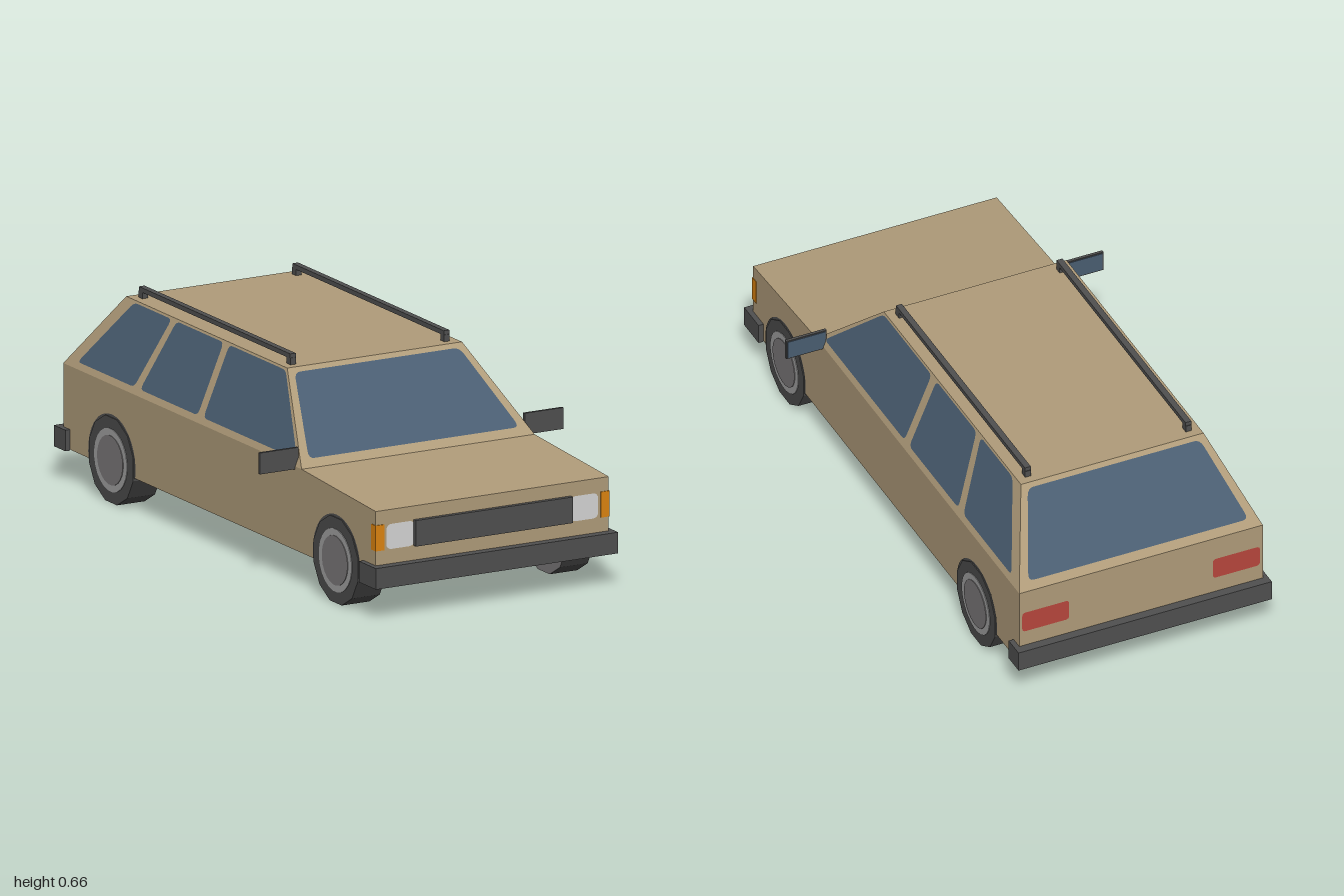
import * as THREE from 'three';

const mat = (name, color, side = THREE.DoubleSide) =>
  Object.assign(new THREE.MeshStandardMaterial({ color, side }), { name });

export function createModel() {
  const car = new THREE.Group();
  car.name = 'stationWagon';
  const paint = mat('tanPaint', 0xb09c7a);
  const glass = mat('blueGlass', 0x4a5e72);
  const trim = mat('darkTrim', 0x505050, THREE.FrontSide);
  const tyreMat = mat('tyreRubber', 0x4c4c4c, THREE.FrontSide);
  const rimMat = mat('rimGrey', 0xa2a2a2, THREE.FrontSide);
  const hubMat = mat('hubGrey', 0x7c797a, THREE.FrontSide);
  const lampMat = mat('lampWhite', 0xd6d6d6);
  const amber = mat('amberLamp', 0xdd8410, THREE.FrontSide);
  const red = mat('redLamp', 0xb8463c);

  const add = (name, geometry, material, x = 0, y = 0, z = 0) => {
    const m = new THREE.Mesh(geometry, material);
    m.name = name;
    m.position.set(x, y, z);
    car.add(m);
    return m;
  };
  const box = (name, material, x0, x1, y0, y1, z0, z1) =>
    add(name, new THREE.BoxGeometry(Math.abs(x1 - x0), y1 - y0, Math.abs(z1 - z0)), material,
      (x0 + x1) / 2, (y0 + y1) / 2, (z0 + z1) / 2);

  // polygon with softened corners, as a list of points
  const soften = (pts, r) => pts.flatMap(([x, y], i) => {
    const n = pts.length;
    const p = new THREE.Vector2(x, y);
    const toward = (q) => new THREE.Vector2(...q).sub(p).setLength(r).add(p);
    const a = toward(pts[(i + n - 1) % n]);
    const b = toward(pts[(i + 1) % n]);
    return new THREE.QuadraticBezierCurve(a, p, b).getPoints(4);
  });

  // flat shape placed in space by a linear rule, turned to face outward
  const sheet = (name, shape, material, place) => {
    const g = new THREE.ShapeGeometry(shape);
    const p = g.attributes.position;
    for (let i = 0; i < p.count; i++) p.setXYZ(i, ...place(p.getX(i), p.getY(i)));
    g.computeVertexNormals();
    const n = new THREE.Vector3().fromBufferAttribute(g.attributes.normal, 0);
    const c = new THREE.Vector3().fromBufferAttribute(p, 0).sub(new THREE.Vector3(0, 0.25, 0));
    if (n.dot(c) < 0) {
      g.index.array.reverse();
      g.computeVertexNormals();
    }
    return add(name, g, material);
  };

  // painted panel with inset panes filling its openings
  const panel = (name, outline, place, panes = [], paneName = '', paneMat = glass, r = 0.02) => {
    const shape = new THREE.Shape(outline.map((q) => new THREE.Vector2(...q)));
    for (const pane of panes) {
      const pts = soften(pane, r);
      shape.holes.push(new THREE.Path(pts));
      sheet(paneName, new THREE.Shape(pts), paneMat, place);
    }
    sheet(name, shape, paint, place);
  };
  const rect = (x0, x1, y0, y1) => [[x0, y0], [x1, y0], [x1, y1], [x0, y1]];

  // main body lines
  const W = 0.42, roofW = 0.315, sill = 0.11, belt = 0.38, roofY = 0.63, end = 0.97;
  const rise = (y) => (y - belt) / (roofY - belt);
  const cabin = [[-W, belt], [W, belt], [roofW, roofY], [-roofW, roofY]];
  const screen = [[-0.38, 0.403], [0.38, 0.403], [0.297, 0.617], [-0.297, 0.617]];

  panel('roof', rect(-roofW, roofW, -0.76, 0.24), (x, z) => [x, roofY, z]);
  panel('hood', rect(-W, W, 0.51, end), (x, z) => [x, belt - 0.03 * (z - 0.51) / 0.46, z]);
  panel('windshieldFrame', cabin, (x, y) => [x, y, 0.51 - 0.27 * rise(y)], [screen], 'windshield');
  panel('tailgateFrame', cabin, (x, y) => [x, y, -end + 0.21 * rise(y)], [screen], 'rearWindow');
  panel('nosepanel', rect(-W, W, sill, 0.35), (x, y) => [x, y, end],
    [rect(-0.382, -0.28, 0.222, 0.303), rect(0.28, 0.382, 0.222, 0.303)], 'headlight', lampMat);
  panel('tailPanel', rect(-W, W, sill, belt), (x, y) => [x, y, -end],
    [rect(-0.41, -0.248, 0.228, 0.3), rect(0.248, 0.41, 0.228, 0.3)], 'tailLight', red, 0.012);

  const sideWindows = [
    [[0.467, 0.4], [0.235, 0.623], [-0.115, 0.623], [-0.115, 0.4]],
    [[-0.15, 0.4], [-0.15, 0.623], [-0.442, 0.623], [-0.508, 0.4]],
    [[-0.545, 0.4], [-0.473, 0.623], [-0.705, 0.623], [-0.895, 0.4]],
  ];
  const cabinSide = [[0.51, belt], [0.24, roofY], [-0.76, roofY], [-end, belt]];
  const lowerSide = [[end, sill], [end, 0.35], [0.51, belt], [-end, belt], [-end, sill]];

  for (const s of [-1, 1]) {
    const side = s > 0 ? 'left' : 'right';
    panel(side + 'CabinSide', cabinSide, (z, y) => [s * (W - (W - roofW) * rise(y)), y, z],
      sideWindows, side + 'Window');
    panel(side + 'LowerSide', lowerSide, (z, y) => [s * W, y, z]);

    // wheels: tyre, rim and hub cap, with a dark arch on the body
    for (const z of [0.73, -0.665]) {
      const arch = new THREE.Shape();
      const a = Math.asin((sill - 0.138) / 0.147);
      arch.absarc(z, 0.138, 0.147, a, Math.PI - a, false);
      sheet('wheelArch', arch, trim, (u, v) => [s * (W + 0.002), v, u]);

      const wheel = new THREE.Group();
      wheel.name = side + (z > 0 ? 'FrontWheel' : 'RearWheel');
      wheel.position.set(s * 0.375, 0.138, z);
      wheel.rotation.z = -s * Math.PI / 2;
      const disc = (name, r, h, y, n, m) => {
        let g = new THREE.CylinderGeometry(r, r, h, n, 1, false, Math.PI / n);
        if (n === 12) {
          g = g.toNonIndexed();
          g.computeVertexNormals();
        }
        const d = new THREE.Mesh(g, m);
        d.name = name;
        d.position.y = y;
        wheel.add(d);
      };
      disc('tyre', 0.1425, 0.1, 0, 12, [tyreMat, tyreMat, hubMat]);
      disc('rim', 0.102, 0.004, 0.05, 24, rimMat);
      disc('hubCap', 0.08, 0.004, 0.052, 24, hubMat);
      car.add(wheel);
    }

    // corner indicator
    box(side + 'Indicator', amber, s * 0.39, s * 0.422, 0.222, 0.305, 0.945, 0.973);

    // door mirror with glass on its rear face
    box(side + 'Mirror', trim, s * 0.408, s * 0.547, 0.371, 0.44, 0.46, 0.47);
    box(side + 'MirrorGlass', glass, s * 0.412, s * 0.543, 0.375, 0.436, 0.458, 0.46);

    // roof rail with a foot at each end
    box(side + 'RoofRail', trim, s * 0.267, s * 0.287, 0.65, 0.665, -0.73, 0.21);
    for (const z of [0.2, -0.72])
      box(side + 'RailFoot', trim, s * 0.267, s * 0.287, 0.628, 0.652, z - 0.012, z + 0.012);

    // bumper ends wrapping round the corners
    box(side + 'FrontBumperEnd', trim, s * W, s * 0.437, 0.107, 0.175, 0.895, 0.97);
    box(side + 'RearBumperEnd', trim, s * W, s * 0.437, 0.107, 0.175, -0.97, -0.928);
  }

  // bumpers and grille
  box('frontBumper', trim, -0.437, 0.437, 0.107, 0.175, 0.97, 1);
  box('rearBumper', trim, -0.437, 0.437, 0.107, 0.175, -1, -0.97);
  box('grille', trim, -0.283, 0.283, 0.222, 0.306, 0.965, 0.985);

  return car;
}
